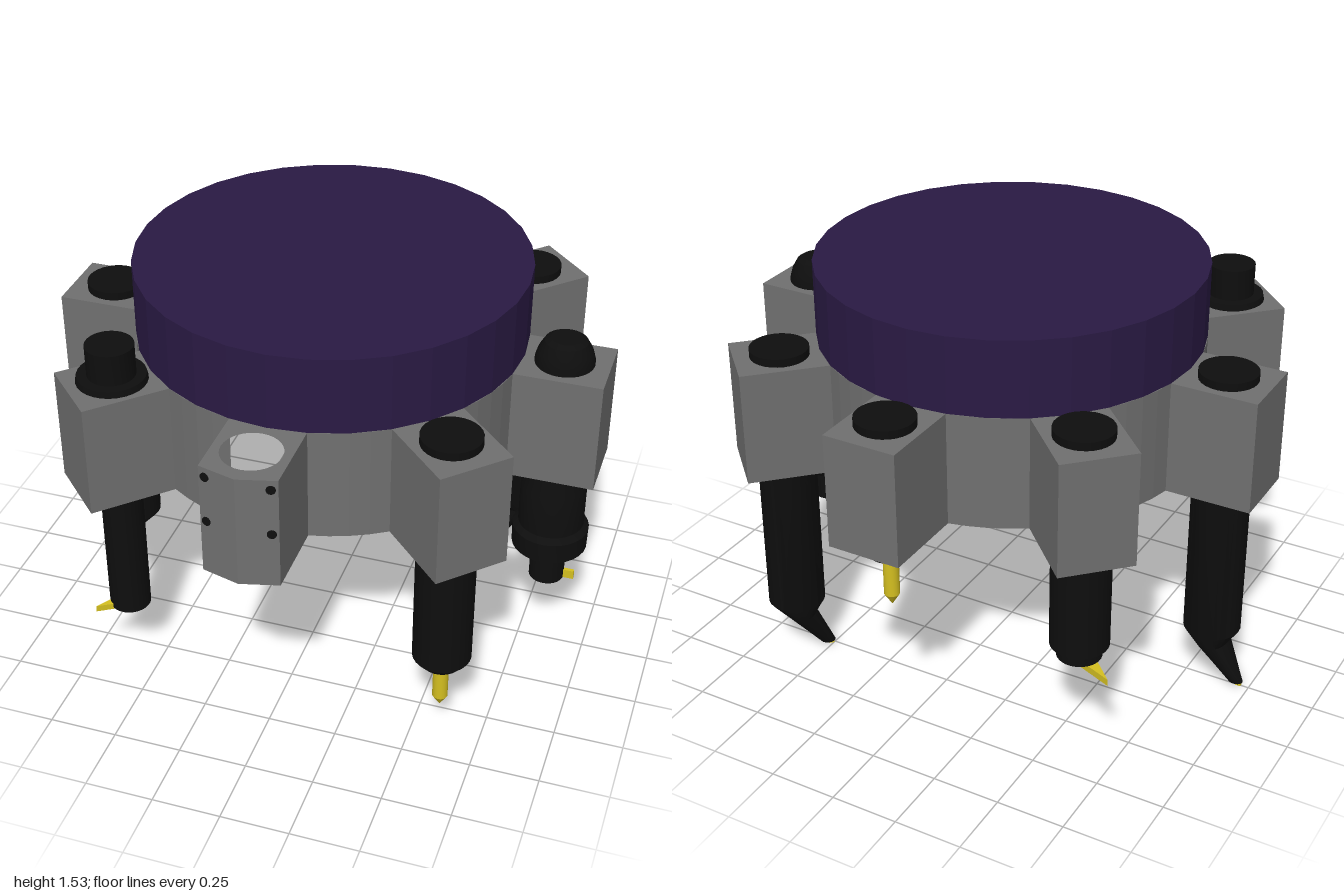
import * as THREE from 'three';
import { toCreasedNormals } from 'three/addons/utils/BufferGeometryUtils.js';

const mat = (color, extra = {}) => new THREE.MeshStandardMaterial({ color, ...extra });
const grey = mat(0x707070, { flatShading: true });
const purple = mat(0x2a1a44, { flatShading: true });
const black = mat(0x0e0e0e);
const yellow = mat(0xd4bf20);

const BOTTOM = 0.835, TOP = 1.255, R = 0.7, HALF = 0.135, AXIS = 0.84;

function add(parent, name, geometry, material) {
  const mesh = new THREE.Mesh(geometry, material);
  mesh.name = name;
  parent.add(mesh);
  return mesh;
}

// Turned solid from [radius, y] pairs listed from bottom to top
function turned(profile, segments = 28) {
  const points = profile.map(([r, y]) => new THREE.Vector2(r, y));
  return new THREE.LatheGeometry(points, segments);
}
const crisp = (geometry) => toCreasedNormals(geometry, 0.5);

// Flat plate from an outline in (x, z), between two heights
function plate(shape, y0, y1) {
  const g = new THREE.ExtrudeGeometry(shape, { depth: y1 - y0, bevelEnabled: false, curveSegments: 16 });
  return g.rotateX(Math.PI / 2).translate(0, y1, 0);
}

// Outline with eight square stations around a round core
function turretShape() {
  const pts = [];
  const inner = Math.asin(HALF / R);
  for (let i = 0; i < 8; i++) {
    const a = i * Math.PI / 4;
    const put = (t, r) => pts.push(new THREE.Vector2(
      t * Math.cos(a) + r * Math.sin(a), -t * Math.sin(a) + r * Math.cos(a)));
    const end = i === 0 ? 0.965 : 1;
    put(-HALF, end);
    if (i === 0) put(0, 1);
    put(HALF, end);
    for (let k = 0; k <= 4; k++) {
      const b = inner + (Math.PI / 4 - 2 * inner) * k / 4;
      put(R * Math.sin(b), R * Math.cos(b));
    }
  }
  const shape = new THREE.Shape(pts);
  const hole = new THREE.Path();
  hole.absarc(0, AXIS, 0.105, 0, Math.PI * 2, true);
  shape.holes.push(hole);
  return shape;
}

const cap = [[0.105, 1.285], [0, 1.285]];

// Drill in a chamfered holder
function drillTool(g, holderEnd, drillEnd) {
  add(g, 'drillHolder', crisp(turned([[0, holderEnd], [0.075, holderEnd],
    [0.105, holderEnd + 0.035], ...cap])), black);
  add(g, 'drillBit', crisp(turned([[0, drillEnd], [0.028, drillEnd + 0.045],
    [0.028, holderEnd + 0.01], [0, holderEnd + 0.01]], 16)), yellow);
}

// Bar whose lower end narrows and leans along the radius
function bentTool(g, lean) {
  const geo = turned([[0, 0.02], [0.022, 0.02], [0.083, 0.18], [0.105, 0.24], ...cap]);
  const p = geo.attributes.position;
  for (let i = 0; i < p.count; i++) {
    const y = p.getY(i);
    if (y < 0.1) p.setXYZ(i, p.getX(i), y, p.getZ(i) * 1.25 + lean * 0.108);
    else if (y < 0.2) p.setZ(i, p.getZ(i) * 0.7 + lean * 0.008);
  }
  add(g, 'bentToolBar', crisp(geo), black);
  add(g, 'cuttingTip', new THREE.BoxGeometry(0.012, 0.025, 0.02), yellow)
    .position.set(0, 0.018, lean * 0.12);
}

// Thin triangular cutting plate
function insert(g, corners, y0, y1) {
  const shape = new THREE.Shape(corners.map(([x, z]) => new THREE.Vector2(x, z)));
  add(g, 'cuttingInsert', plate(shape, y0, y1), yellow);
}

// Stepped boring head with a domed top
function boringHead(g) {
  add(g, 'boringHead', crisp(turned([[0, 0.32], [0.065, 0.32], [0.065, 0.45], [0.105, 0.45],
    [0.138, 0.475], [0.14, 0.555], [0.12, 0.575], [0.12, 0.745], [0.105, 0.8],
    [0.105, 1.27], [0.095, 1.305], [0.075, 1.34], [0.055, 1.352], [0, 1.352]])), black);
  add(g, 'cuttingInsert', new THREE.BoxGeometry(0.014, 0.035, 0.06), yellow)
    .position.set(0, 0.337, 0.073);
}

// Thick holder with a large flat insert underneath
function facingTool(g) {
  add(g, 'facingHolder', crisp(turned([[0, 0.4], [0.08, 0.4], [0.08, 0.435], [0.105, 0.45], ...cap])), black);
  insert(g, [[-0.05, -0.05], [0.045, -0.05], [0.045, 0.17]], 0.375, 0.4);
}

// Slim bar with a flanged knob on top
function knobTool(g) {
  add(g, 'slimBar', crisp(turned([[0, 0.29], [0.075, 0.29], [0.075, 1.25], [0.105, 1.25],
    [0.125, 1.262], [0.12, 1.285], [0.085, 1.285], [0.085, 1.4], [0, 1.4]])), black);
  insert(g, [[-0.025, 0.03], [0.025, 0.03], [0, 0.135]], 0.284, 0.308);
}

export function createModel() {
  const model = new THREE.Group();
  model.name = 'toolTurret';

  add(model, 'turretBody', plate(turretShape(), BOTTOM, TOP), grey);
  add(model, 'topDisc', new THREE.CylinderGeometry(R, R, 0.28, 32).translate(0, TOP + 0.14, 0), purple);

  // Clamp screws on the empty front station
  for (const side of [-1, 1]) for (const y of [1.045, 1.22]) {
    const screw = add(model, 'clampScrew',
      new THREE.CylinderGeometry(0.016, 0.016, 0.02, 14).rotateX(Math.PI / 2), black);
    screw.position.set(side * 0.11, y, 0.966);
    screw.rotation.y = side * 0.254;
  }

  // Tools by station, each facing outward along its own +z
  const tools = [
    null,
    ['longDrill', (g) => drillTool(g, 0.32, 0.115)],
    ['boringTool', boringHead],
    ['inwardBentTool', (g) => bentTool(g, -1)],
    ['shortDrill', (g) => drillTool(g, 0.765, 0.555)],
    ['facingTool', facingTool],
    ['outwardBentTool', (g) => bentTool(g, 1)],
    ['knobTool', knobTool],
  ];
  tools.forEach((tool, i) => {
    if (!tool) return;
    const a = i * Math.PI / 4;
    const group = new THREE.Group();
    group.name = tool[0];
    group.position.set(AXIS * Math.sin(a), 0, AXIS * Math.cos(a));
    group.rotation.y = a;
    tool[1](group);
    model.add(group);
  });
  return model;
}
